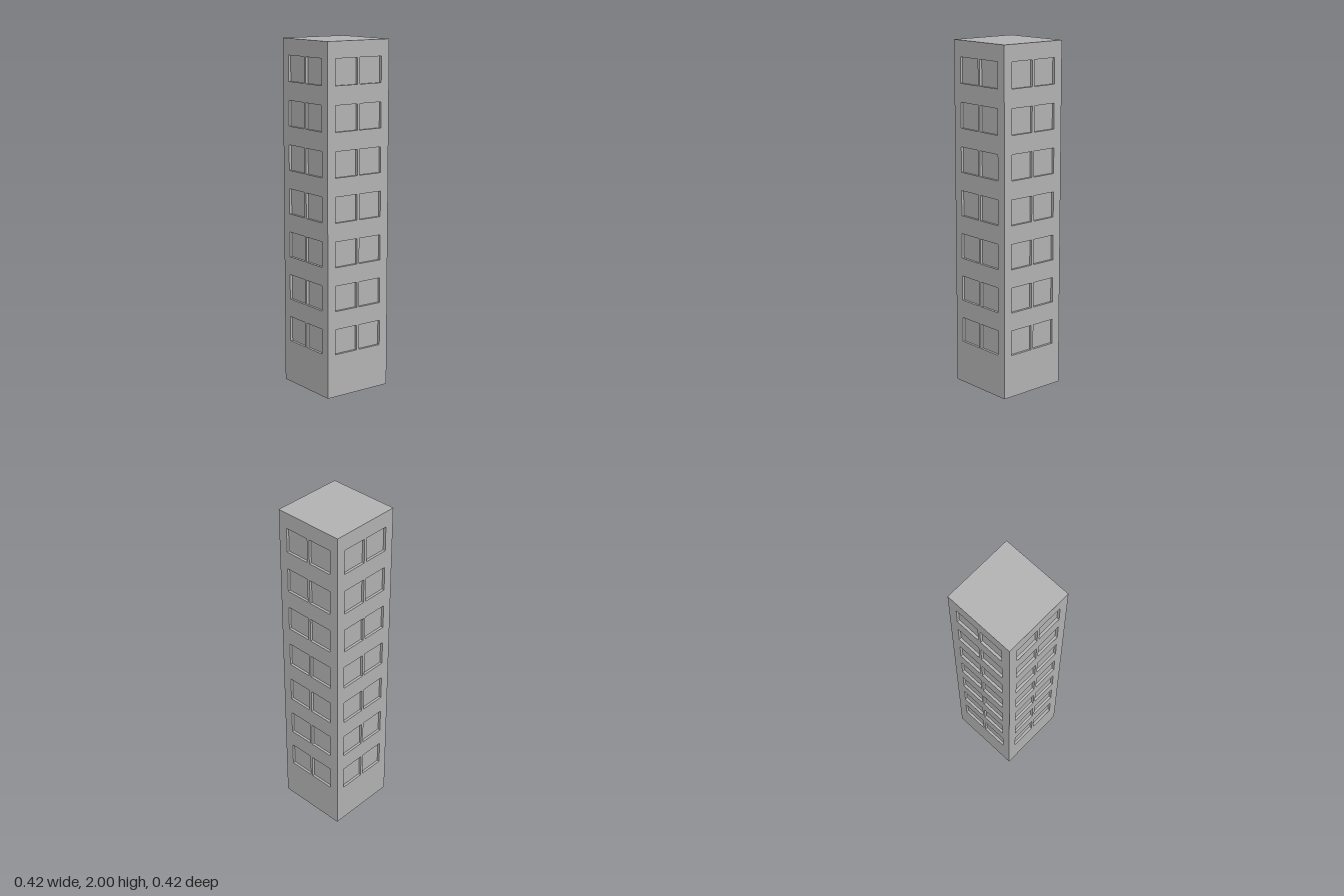
import * as THREE from 'three';

const HALF = 0.211, HEIGHT = 2, DEPTH = 0.015;
const FLOORS = 7, FIRST_SILL = 0.249, FLOOR_STEP = 0.252;
const WINDOW_IN = 0.008, WINDOW_OUT = 0.157, WINDOW_HEIGHT = 0.146;

function rectangle(target, x0, y0, x1, y1) {
  target.moveTo(x0, y0);
  target.lineTo(x1, y0);
  target.lineTo(x1, y1);
  target.lineTo(x0, y1);
  target.closePath();
  return target;
}

// Wall slab with a pair of window openings on each floor
function facadeGeometry() {
  const wall = rectangle(new THREE.Shape(), -HALF, 0, HALF, HEIGHT);
  for (let floor = 0; floor < FLOORS; floor++) {
    const sill = FIRST_SILL + floor * FLOOR_STEP;
    for (const [x0, x1] of [[-WINDOW_OUT, -WINDOW_IN], [WINDOW_IN, WINDOW_OUT]]) {
      wall.holes.push(rectangle(new THREE.Path(), x0, sill, x1, sill + WINDOW_HEIGHT));
    }
  }
  const geometry = new THREE.ExtrudeGeometry(wall, { depth: DEPTH, bevelEnabled: false });

  // Mitre the inner edge so that neighbouring walls meet cleanly at the corners
  const p = geometry.attributes.position;
  for (let i = 0; i < p.count; i++) {
    if (p.getZ(i) < DEPTH / 2 && Math.abs(p.getX(i)) > HALF - 0.001) {
      p.setX(i, Math.sign(p.getX(i)) * (HALF - DEPTH));
    }
  }
  geometry.translate(0, 0, HALF - DEPTH);
  geometry.computeVertexNormals();
  return geometry;
}

export function createModel() {
  const tower = new THREE.Group();
  tower.name = 'tower';
  const concrete = new THREE.MeshStandardMaterial({ color: 0xb2b2b2 });
  concrete.name = 'concrete grey';

  // Core: its sides are the recessed window panes
  const inner = 2 * (HALF - DEPTH);
  const core = new THREE.Mesh(new THREE.BoxGeometry(inner, HEIGHT, inner), concrete);
  core.name = 'core';
  core.position.y = HEIGHT / 2;
  tower.add(core);

  // Four identical facades around the core
  const geometry = facadeGeometry();
  ['frontFacade', 'leftFacade', 'backFacade', 'rightFacade'].forEach((name, i) => {
    const facade = new THREE.Mesh(geometry, concrete);
    facade.name = name;
    facade.rotation.y = i * Math.PI / 2;
    tower.add(facade);
  });
  return tower;
}
